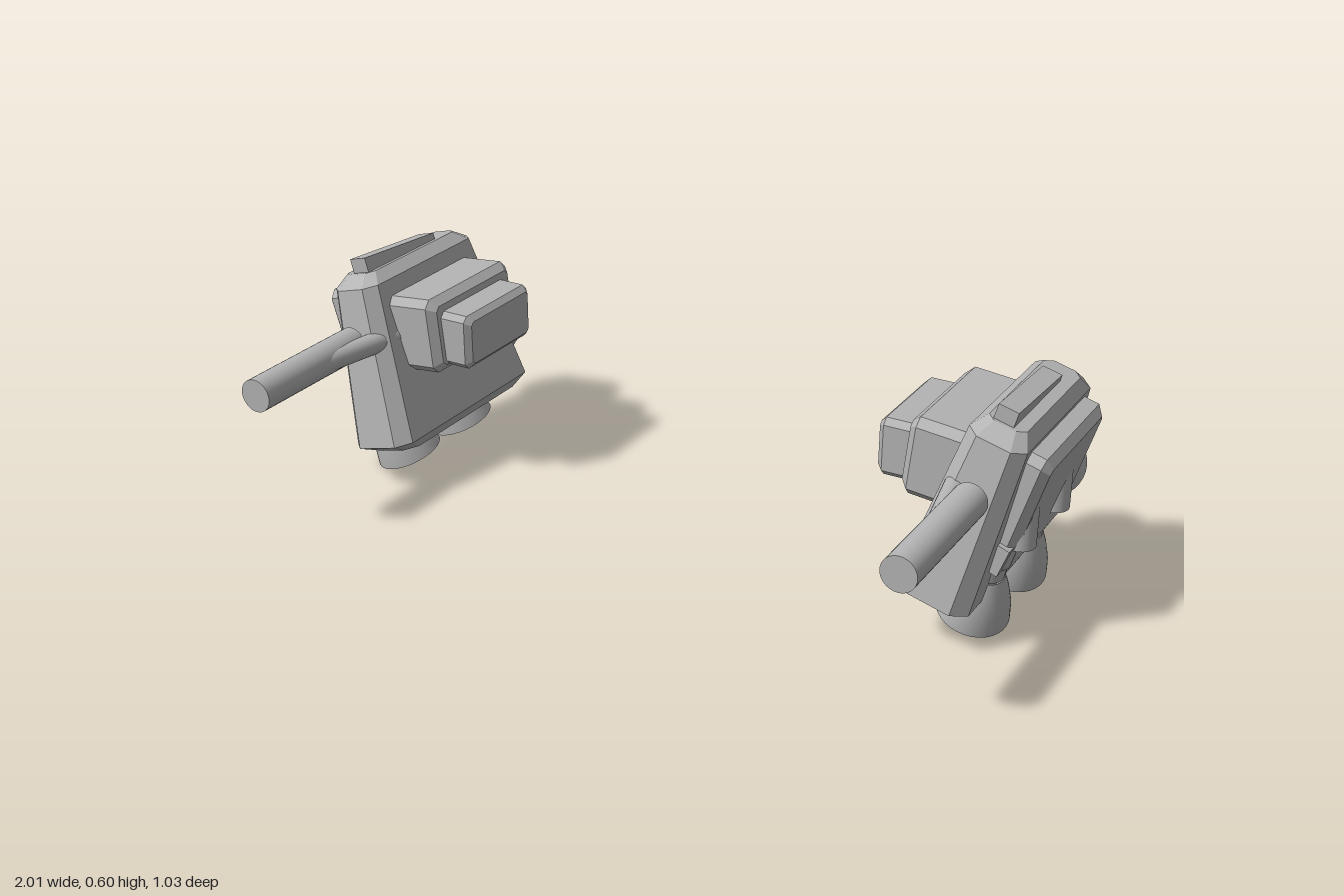
import * as THREE from 'three';
import { mergeGeometries } from 'three/addons/utils/BufferGeometryUtils.js';

const grey = new THREE.MeshStandardMaterial({ color: 0xb4b4b4 });
grey.name = 'plain grey';

const LEAN = THREE.MathUtils.degToRad(15);
const UP = new THREE.Vector3(0, 1, 0);

// Closed loft through chamfered rectangles; ring = [y, halfWidthX, zBack, zFront, chamfer]
function loft(rings) {
  const pos = [], idx = [], n = 8;
  for (const [y, w, z0, z1, c] of rings) {
    const pts = [[w, z0 + c], [w, z1 - c], [w - c, z1], [c - w, z1],
      [-w, z1 - c], [-w, z0 + c], [c - w, z0], [w - c, z0]];
    for (const [x, z] of pts) pos.push(x, y, z);
  }
  for (let r = 0; r < rings.length - 1; r++) {
    for (let i = 0; i < n; i++) {
      const a = r * n + i, b = r * n + (i + 1) % n;
      idx.push(a, a + n, b, b, a + n, b + n);
    }
  }
  const top = (rings.length - 1) * n;
  for (let i = 1; i < n - 1; i++) {
    idx.push(0, i, i + 1, top, top + i + 1, top + i);
  }
  const g = new THREE.BufferGeometry();
  g.setAttribute('position', new THREE.Float32BufferAttribute(pos, 3));
  g.setIndex(idx);
  const flat = g.toNonIndexed();
  flat.computeVertexNormals();
  return flat;
}

// Bevelled slab growing sideways from its base centre (side 1 = outward, -1 = inward)
function panel(side, [x, y, z], height, depth, thick, bevel, lean) {
  const h = height / 2, d = depth / 2;
  return loft([
    [0, h, -d, d, bevel],
    [thick - bevel, h, -d, d, bevel],
    [thick, h - bevel, bevel - d, d - bevel, bevel * 0.6],
  ]).rotateZ(-side * Math.PI / 2).rotateZ(-lean).translate(x, y, z);
}

// Places a geometry built along +y so that it runs from a towards b
function aim(g, a, b) {
  const from = new THREE.Vector3(...a);
  const dir = new THREE.Vector3(...b).sub(from).normalize();
  g.applyQuaternion(new THREE.Quaternion().setFromUnitVectors(UP, dir));
  return g.translate(from.x, from.y, from.z);
}

function rod(a, b, ra, rb = ra) {
  const len = new THREE.Vector3(...a).distanceTo(new THREE.Vector3(...b));
  return aim(new THREE.CylinderGeometry(rb, ra, len, 32).translate(0, len / 2, 0), a, b);
}

// Thruster bell with a flat closed mouth
function bell(a, b, rNeck, rMouth) {
  const len = new THREE.Vector3(...a).distanceTo(new THREE.Vector3(...b));
  const profile = [[0, 0], [0.3, 0.42], [0.65, 0.8], [1, 1]].map(
    ([t, k]) => new THREE.Vector2(rNeck + (rMouth - rNeck) * k, t * len));
  const wall = new THREE.LatheGeometry(profile, 32);
  const mouth = new THREE.CircleGeometry(rMouth, 32).rotateX(-Math.PI / 2).translate(0, len, 0);
  return aim(mergeGeometries([wall, mouth]), a, b);
}

// Sloping fin along the top edge, drawn in side profile (z, y)
function fin() {
  const profile = [[0.046, 0.05], [-0.242, 0.028], [-0.242, -0.03], [0.02, -0.03], [0.046, 0.012]];
  const shape = new THREE.Shape(profile.map(p => new THREE.Vector2(...p)));
  return new THREE.ExtrudeGeometry(shape, { depth: 0.05, bevelEnabled: false })
    .rotateY(-Math.PI / 2).translate(0.025, 0, 0).rotateZ(-LEAN).translate(0.885, 0.555, 0);
}

// All parts of the pod on the +x side
function podParts() {
  const parts = {
    body: loft([
      [0, 0.065, -0.39, 0.105, 0.03],
      [0.03, 0.095, -0.43, 0.163, 0.035],
      [0.445, 0.072, -0.363, 0.098, 0.03],
      [0.475, 0.047, -0.32, 0.055, 0.02],
    ]).rotateZ(-LEAN).translate(0.772, 0.105, 0),
    topFin: fin(),
    outerPlate: panel(1, [0.897, 0.355, -0.132], 0.325, 0.376, 0.07, 0.02, 0.29),
    innerBlock: panel(-1, [0.84, 0.41, -0.13], 0.2, 0.36, 0.185, 0.02, 0.1),
    innerCap: panel(-1, [0.7, 0.417, -0.127], 0.146, 0.286, 0.125, 0.015, 0),
    barrel: rod([0.858, 0.408, 0.137], [0.858, 0.408, 0.515], 0.043),
    barrelStrut: rod([0.782, 0.408, -0.02], [0.85, 0.408, 0.31], 0.028),
    frontTab: new THREE.BoxGeometry(0.03, 0.075, 0.03).rotateZ(-0.35).translate(0.908, 0.235, 0.055),
    rearThruster: bell([0.84, 0.302, -0.375], [0.84, 0.23, -0.466], 0.05, 0.085),
    rearThrusterNeck: rod([0.84, 0.34, -0.32], [0.84, 0.3, -0.377], 0.048),
  };
  // Two lower thrusters with necks and the pins showing through the outer plate
  ['front', 'rear'].forEach((label, i) => {
    const z = -0.24 * i, pinZ = 0.003 - 0.215 * i;
    parts[label + 'LowerThruster'] = bell([0.86, 0.165, z + 0.003], [0.823, 0.037, z - 0.027], 0.045, 0.089);
    parts[label + 'ThrusterNeck'] = rod([0.86, 0.16, z + 0.003], [0.875, 0.25, z + 0.008], 0.043, 0.048);
    parts[label + 'PlatePin'] = rod([0.933, 0.255, pinZ], [0.933, 0.4, pinZ], 0.039);
  });
  return parts;
}

// Reflects a geometry in x and restores outward-facing triangles
function mirrored(source) {
  const g = source.index ? source.toNonIndexed() : source.clone();
  g.scale(-1, 1, 1);
  for (const { array, itemSize: s } of Object.values(g.attributes)) {
    for (let t = 0; t < array.length; t += 3 * s) {
      for (let k = 0; k < s; k++) {
        const keep = array[t + k];
        array[t + k] = array[t + 2 * s + k];
        array[t + 2 * s + k] = keep;
      }
    }
  }
  return g;
}

export function createModel() {
  const model = new THREE.Group();
  model.name = 'thrusterPods';
  const parts = podParts();
  for (const side of ['left', 'right']) {
    const pod = new THREE.Group();
    pod.name = side + 'Pod';
    for (const [name, geometry] of Object.entries(parts)) {
      const mesh = new THREE.Mesh(side === 'left' ? geometry : mirrored(geometry), grey);
      mesh.name = name;
      pod.add(mesh);
    }
    model.add(pod);
  }
  return model;
}
